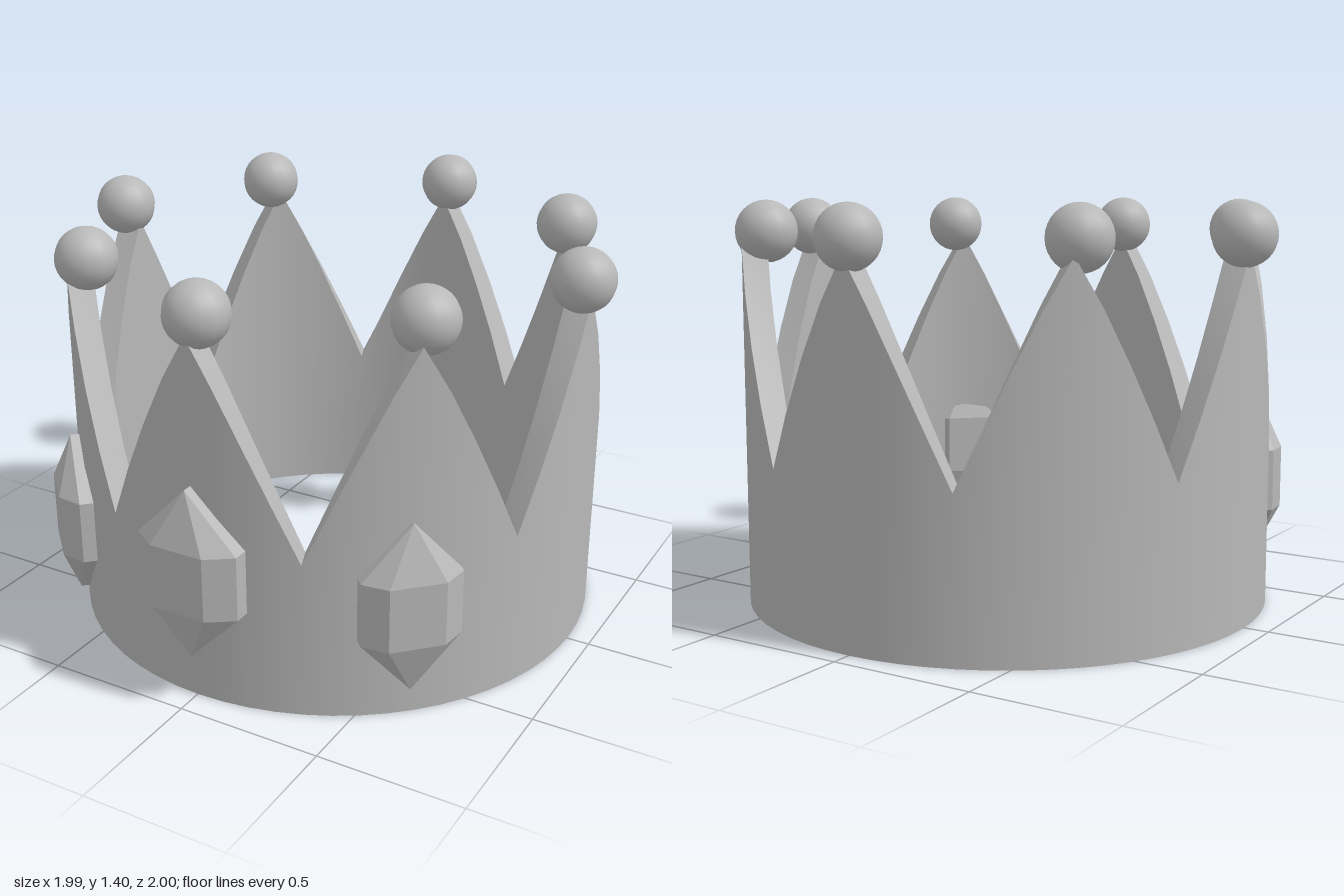
import * as THREE from 'three';
import { toCreasedNormals } from 'three/addons/utils/BufferGeometryUtils.js';

const OUTER = 0.918, INNER = 0.832, PEAKS = 8, STEPS = 8;
const VALLEY = 0.54, PEAK = 1.24;

function geometryFrom(points) {
  const geometry = new THREE.BufferGeometry();
  geometry.setAttribute('position', new THREE.Float32BufferAttribute(points.flat(), 3));
  geometry.computeVertexNormals();
  return geometry;
}

// Two triangles, corners counter-clockwise seen from outside
const quad = (a, b, c, d) => [a, b, c, a, c, d];

// Ring wall whose top edge zigzags between peaks and valleys
function bandGeometry() {
  const n = PEAKS * STEPS, points = [];
  const height = (i) => {
    const k = i % STEPS;
    const t = Math.min(k, STEPS - k) / (STEPS / 2); // 0 at a peak, 1 in a valley
    return PEAK - (PEAK - VALLEY) * Math.pow(t, 1.1);
  };
  const at = (i, r, y) => {
    const a = (i % n) / n * Math.PI * 2;
    return [Math.sin(a) * r, y, Math.cos(a) * r];
  };
  for (let i = 0; i < n; i++) {
    const j = i + 1, hi = height(i), hj = height(j);
    points.push(
      ...quad(at(i, OUTER, 0), at(j, OUTER, 0), at(j, OUTER, hj), at(i, OUTER, hi)),
      ...quad(at(j, INNER, 0), at(i, INNER, 0), at(i, INNER, hi), at(j, INNER, hj)),
      ...quad(at(i, OUTER, hi), at(j, OUTER, hj), at(j, INNER, hj), at(i, INNER, hi)),
      ...quad(at(i, INNER, 0), at(j, INNER, 0), at(j, OUTER, 0), at(i, OUTER, 0)),
    );
  }
  return toCreasedNormals(geometryFrom(points), 0.5);
}

// Six-sided jewel: a girdle band with a bevelled rectangular face front and back
function jewelGeometry(w, h, body, face, girdle, depth) {
  const rim = [[w, -body], [w, body], [0, h], [-w, body], [-w, -body], [0, -h]];
  const table = [[face, -body], [face, body], [-face, body], [-face, -body]];
  const front = [];
  const R = (i) => [...rim[i % 6], girdle];
  const T = (i) => [...table[i % 4], depth];
  front.push(
    ...quad(T(0), T(1), T(2), T(3)),
    ...quad(R(0), R(1), T(1), T(0)),
    ...quad(R(3), R(4), T(3), T(2)),
    R(1), R(2), T(1), R(2), T(2), T(1), R(2), R(3), T(2),
    R(4), R(5), T(3), R(5), T(0), T(3), R(5), R(0), T(0),
  );
  // Half turn about the vertical axis gives the back
  const back = front.map(([x, y, z]) => [-x, y, -z]);
  const sides = [];
  for (let i = 0; i < 6; i++) {
    const a = rim[i], b = rim[(i + 1) % 6];
    sides.push(...quad([...a, -girdle], [...b, -girdle], [...b, girdle], [...a, girdle]));
  }
  return geometryFrom([...front, ...back, ...sides]);
}

export function createModel() {
  const crown = new THREE.Group();
  crown.name = 'crown';
  const grey = new THREE.MeshStandardMaterial({ color: 0xb8b8b8 });
  grey.name = 'grey';

  const add = (name, geometry, x, y, z, turn = 0) => {
    const mesh = new THREE.Mesh(geometry, grey);
    mesh.name = name;
    mesh.position.set(x, y, z);
    mesh.rotation.y = turn;
    crown.add(mesh);
  };

  add('band', bandGeometry(), 0.004, 0, -0.012);

  // Balls on the peaks
  const ball = new THREE.SphereGeometry(0.106, 16, 16);
  const spots = [
    [0.003, 0.835], [0.615, 0.548], [0.885, -0.02], [0.61, -0.583],
    [0.005, -0.895], [-0.617, -0.583], [-0.895, -0.02], [-0.613, 0.57],
  ];
  spots.forEach(([x, z], i) => add('ball' + (i + 1), ball, x, 1.29, z));

  // Jewels set through the front of the band
  add('frontJewel', jewelGeometry(0.182, 0.295, 0.11, 0.095, 0.03, 0.09), 0.005, 0.46, 0.91);
  const sideJewel = jewelGeometry(0.166, 0.295, 0.11, 0.092, 0.03, 0.09);
  add('leftJewel', sideJewel, 0.627, 0.387, 0.643, Math.PI / 4);
  add('rightJewel', sideJewel, -0.637, 0.387, 0.645, -Math.PI / 4);

  return crown;
}
